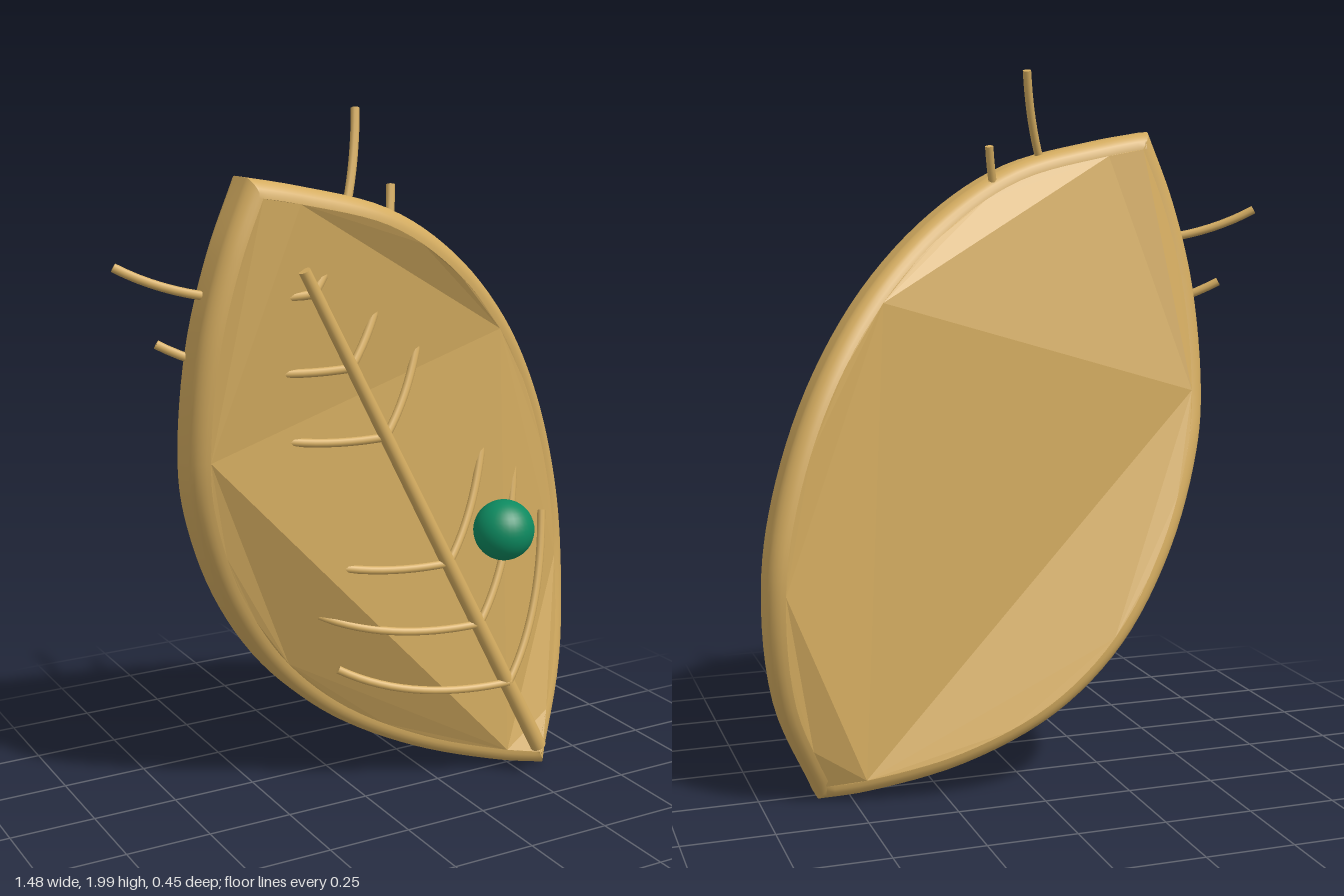
import * as THREE from 'three';

const tan = new THREE.MeshStandardMaterial({ color: 0xd4ac60 });
tan.name = 'tan leaf';
const green = new THREE.MeshStandardMaterial({ color: 0x0d8a60 });
green.name = 'green bead';

const V = (x, y, z) => new THREE.Vector3(x, y, z);
const STEP = 6; // samples per control segment

// Mid-thickness outline, clockwise from the upper tip: right edge, then left edge
const rightEdge = [
  V(-0.41, 1.835, 0.087), V(-0.27, 1.81, 0.09), V(0, 1.74, 0.088), V(0.22, 1.61, 0.055), V(0.44, 1.405, -0.02),
  V(0.61, 1.15, -0.095), V(0.715, 0.87, -0.138), V(0.75, 0.63, -0.143), V(0.715, 0.3, -0.085), V(0.59, 0.005, 0.01),
];
const leftEdge = [
  V(0.59, 0.005, 0.01), V(0.46, 0.025, -0.03), V(0.2, 0.1, -0.1), V(-0.05, 0.23, -0.143), V(-0.25, 0.41, -0.14),
  V(-0.42, 0.66, -0.085), V(-0.53, 0.93, -0.015), V(-0.56, 1.1, 0.025), V(-0.548, 1.4, 0.07), V(-0.49, 1.64, 0.087),
  V(-0.41, 1.835, 0.087),
];
const sample = (pts) => new THREE.CatmullRomCurve3(pts, false, 'centripetal').getPoints((pts.length - 1) * STEP);
const nRight = (rightEdge.length - 1) * STEP;
const loop = [...sample(rightEdge).slice(0, -1), ...sample(leftEdge).slice(0, -1)];
const N = loop.length;

// Mitred outward direction of every outline point
const outward = loop.map((p, i) => {
  const normal = (a, b) => new THREE.Vector2(a.y - b.y, b.x - a.x).normalize();
  const n0 = normal(loop[(i + N - 1) % N], p);
  const n1 = normal(p, loop[(i + 1) % N]);
  const m = n0.clone().add(n1).normalize();
  return m.divideScalar(Math.max(0.5, m.dot(n0)));
});
const offset = (i, inset, dz) => {
  const k = i % N;
  return V(loop[k].x - outward[k].x * inset, loop[k].y - outward[k].y * inset, loop[k].z + dz);
};

// Rounded edge section from front to back: [inset, dz]
const BEVEL = 0.045;
const section = [];
for (const s of [1, -1]) {
  for (let j = 0; j <= 6; j++) {
    const t = (s > 0 ? 6 - j : j) / 6 * Math.PI / 2;
    section.push([BEVEL * (1 - Math.cos(t)), s * (0.032 + 0.045 * Math.sin(t))]);
  }
}

// Smooth rim strip between two outline indices
function rimGeometry(from, to) {
  const pos = [], idx = [], w = section.length;
  for (let i = from; i <= to; i++) {
    for (const [inset, dz] of section) pos.push(...offset(i, inset, dz).toArray());
  }
  for (let i = 0; i < to - from; i++) {
    for (let j = 0; j < w - 1; j++) {
      const a = i * w + j, b = a + w;
      idx.push(a, b, a + 1, b, b + 1, a + 1);
    }
  }
  const g = new THREE.BufferGeometry();
  g.setAttribute('position', new THREE.Float32BufferAttribute(pos, 3));
  g.setIndex(idx);
  g.computeVertexNormals();
  return g;
}

// Faceted face: two large triangles, then each arc filled by halving
function faceGeometry(side) {
  const pos = [];
  const tri = (a, b, c) => {
    for (const i of side > 0 ? [a, c, b] : [a, b, c]) pos.push(...offset(i, BEVEL, side * 0.077).toArray());
  };
  const fill = (a, b, mid = Math.floor((a + b) / 2)) => {
    if (b - a < 2) return;
    tri(a, mid, b);
    fill(a, mid);
    fill(mid, b);
  };
  const top = STEP, right = 4 * STEP, rightLow = 7 * STEP, base = nRight + STEP, left = nRight + 7 * STEP;
  tri(top, right, left);
  tri(right, base, left);
  fill(top, right);
  fill(right, base, rightLow);
  fill(base, left);
  fill(left, N + top, N);
  const g = new THREE.BufferGeometry();
  g.setAttribute('position', new THREE.Float32BufferAttribute(pos, 3));
  g.computeVertexNormals();
  return g;
}

export function createModel() {
  const model = new THREE.Group();
  const add = (name, geometry, material = tan, parent = model) => {
    const mesh = new THREE.Mesh(geometry, material);
    mesh.name = name;
    parent.add(mesh);
    return mesh;
  };

  // Leaf body
  add('rightRim', rimGeometry(0, nRight));
  add('leftRim', rimGeometry(nRight, N));
  add('frontFace', faceGeometry(1));
  add('backFace', faceGeometry(-1));

  // Midrib
  const foot = V(0.53, 0.1, 0.122), tip = V(-0.265, 1.595, 0.155);
  const dir = tip.clone().sub(foot);
  const midrib = add('midrib', new THREE.CylinderGeometry(0.016, 0.024, dir.length(), 16));
  midrib.position.copy(foot).add(tip).multiplyScalar(0.5);
  midrib.quaternion.setFromUnitVectors(V(0, 1, 0), dir.normalize());

  // Side veins in pairs, all bending back through the leaf
  const veins = new THREE.Group();
  veins.name = 'sideVeins';
  model.add(veins);
  const bends = {
    leftVein: [V(-0.3, -0.03, -0.06), V(-0.495, 0.085, -0.14)],
    rightVein: [V(0.155, 0.165, -0.06), V(0.2, 0.465, -0.14)],
  };
  for (const y of [0.335, 0.535, 0.735, 1.125, 1.325, 1.53]) {
    const start = foot.clone().lerp(tip, (y - foot.y) / (tip.y - foot.y));
    start.z = 0.14;
    for (const [name, [bend, end]] of Object.entries(bends)) {
      const curve = new THREE.QuadraticBezierCurve3(start, start.clone().add(bend), start.clone().add(end));
      add(name, new THREE.TubeGeometry(curve, 16, 0.012, 8), tan, veins);
      const cap = add('veinEnd', new THREE.CircleGeometry(0.012, 8), tan, veins);
      cap.position.copy(curve.v2);
      cap.quaternion.setFromUnitVectors(V(0, 0, 1), curve.getTangent(1));
    }
  }

  // Bead resting beside the midrib
  add('bead', new THREE.SphereGeometry(0.088, 32, 20), green).position.set(0.38, 0.805, 0.135);
  return model;
}
